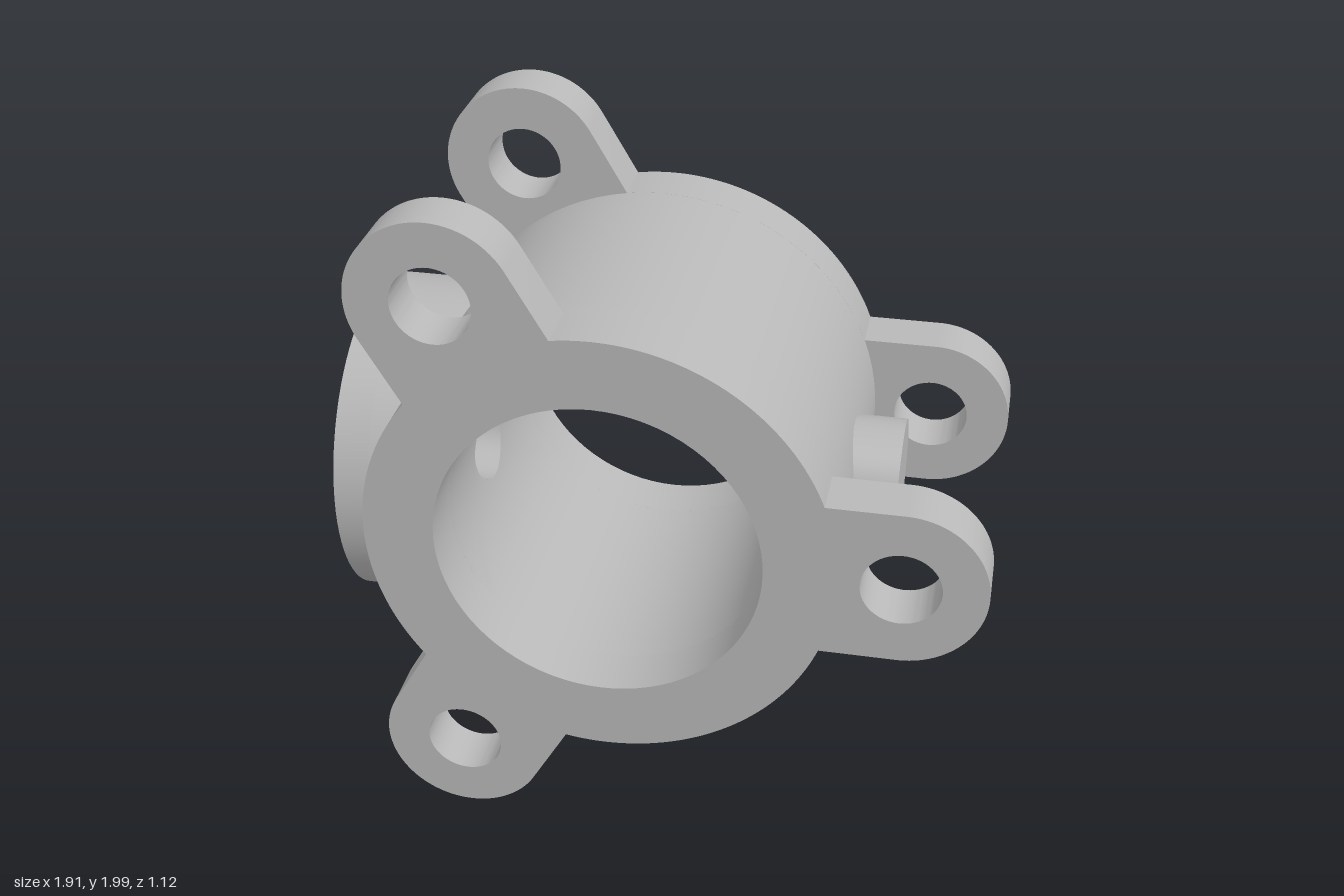
import * as THREE from 'three';
import { mergeGeometries, mergeVertices, toCreasedNormals } from 'three/addons/utils/BufferGeometryUtils.js';

const CX = -0.16, CY = 1;          // axis of the main bore
const OUTER = 0.69, BORE = 0.48;   // housing radii
const HALF = 0.56, INNER = 0.4;    // outer and inner z of the flanges
const PORT = 0.135;                // side port radius
const TAU = Math.PI * 2;

// Surface grid from a rule fn(u, v) -> [x, y, z]
function grid(nu, nv, fn, flip = false) {
  const pos = [], idx = [];
  for (let i = 0; i <= nu; i++)
    for (let j = 0; j <= nv; j++) pos.push(...fn(i / nu, j / nv));
  for (let i = 0; i < nu; i++)
    for (let j = 0; j < nv; j++) {
      const a = i * (nv + 1) + j, b = a + nv + 1;
      if (flip) idx.push(a, b + 1, b, a, a + 1, b + 1);
      else idx.push(a, b, b + 1, a, b + 1, a + 1);
    }
  const g = new THREE.BufferGeometry();
  g.setAttribute('position', new THREE.Float32BufferAttribute(pos, 3));
  g.setIndex(idx);
  return g;
}

function smooth(parts) {
  const g = mergeVertices(mergeGeometries(parts), 1e-4);
  g.computeVertexNormals();
  return g;
}

// Cylindrical wall along z with a round port cut through its -x side
function portedWall(R, flip) {
  const h = 0.3, gap = Math.asin(h / R), n = 12;
  const rest = grid(72, n, (u, v) => {
    const a = (u * 2 - 1) * (Math.PI - gap);
    return [CX + R * Math.cos(a), CY + R * Math.sin(a), (v * 2 - 1) * INNER];
  }, flip);
  const corners = [[-1, -1], [1, -1], [1, 1], [-1, 1], [-1, -1]];
  const patch = grid(4 * n, 10, (u, v) => {
    const side = Math.min(3, Math.floor(u * 4 + 1e-9)), f = u * 4 - side;
    const [p, q] = [corners[side], corners[side + 1]];
    const sy = p[0] + (q[0] - p[0]) * f, sz = p[1] + (q[1] - p[1]) * f;
    const len = Math.hypot(sy, sz);
    const y = THREE.MathUtils.lerp(PORT * sy / len, h * sy, v);
    const z = THREE.MathUtils.lerp(PORT * sz / len, INNER * sz, v);
    return [CX - Math.sqrt(R * R - y * y), CY + y, z];
  }, flip);
  return smooth([rest, patch]);
}

function circle(x, y, r, type = THREE.Path) {
  const p = new type();
  p.absarc(x, y, r, 0, TAU, false);
  return p;
}

function extrude(shape, depth) {
  const g = new THREE.ExtrudeGeometry(shape, { depth, bevelEnabled: false, curveSegments: 40 });
  return toCreasedNormals(g, 0.6);
}

// Ring with three round-ended mounting lugs
function flangeShape() {
  const lugR = 0.245, reach = 0.867, beta = Math.asin(lugR / OUTER);
  const s = new THREE.Shape();
  for (let k = 0; k < 3; k++) {
    const a = k * TAU / 3;
    const x = reach * Math.cos(a), y = reach * Math.sin(a);
    s.absarc(x, y, lugR, a - Math.PI / 2, a + Math.PI / 2, false);
    s.absarc(0, 0, OUTER, a + beta, a + TAU / 3 - beta, false);
    s.holes.push(circle(x, y, 0.115));
  }
  s.holes.push(circle(0, 0, BORE));
  return s;
}

export function createModel() {
  const model = new THREE.Group();
  model.name = 'flangedHousing';
  const metal = new THREE.MeshStandardMaterial({ color: 0xb8b8b8, side: THREE.DoubleSide });
  metal.name = 'castGrey';

  const add = (name, geometry, x = 0, y = 0, z = 0) => {
    const mesh = new THREE.Mesh(geometry, metal);
    mesh.name = name;
    mesh.position.set(x, y, z);
    model.add(mesh);
    return mesh;
  };

  // Main barrel
  add('barrelOuterWall', portedWall(OUTER, false));
  add('barrelBore', portedWall(BORE, true));

  // End flanges
  const flange = extrude(flangeShape(), HALF - INNER);
  add('frontFlange', flange, CX, CY, INNER);
  add('backFlange', flange, CX, CY, -HALF);

  // Side boss: recessed face with three screw holes over a bored base
  const bossR = 0.49, face = -0.96, floor = -0.855, base = -0.645;
  const cap = circle(0, 0, bossR, THREE.Shape);
  cap.holes.push(circle(0, 0, 0.25));
  for (let k = 0; k < 3; k++) {
    const a = k * TAU / 3;
    cap.holes.push(circle(0.363 * Math.cos(a), 0.363 * Math.sin(a), 0.05));
  }
  const root = circle(0, 0, bossR, THREE.Shape);
  root.holes.push(circle(0, 0, PORT));
  add('bossFace', extrude(cap, floor - face).rotateY(-Math.PI / 2), floor, CY, 0);
  add('bossBase', extrude(root, base - floor).rotateY(-Math.PI / 2), base, CY, 0);

  // Port lining that meets the curved bore
  add('portLining', smooth([grid(48, 1, (u, v) => {
    const y = PORT * Math.cos(u * TAU), z = PORT * Math.sin(u * TAU);
    const end = CX - Math.sqrt(BORE * BORE - y * y);
    return [THREE.MathUtils.lerp(base, end, v), CY + y, z];
  }, true)]));

  // Solid stub opposite the boss
  const stub = new THREE.CylinderGeometry(0.185, 0.185, 0.255, 48).rotateZ(-Math.PI / 2);
  add('sideStub', stub, 0.5275, CY, 0);

  return model;
}
